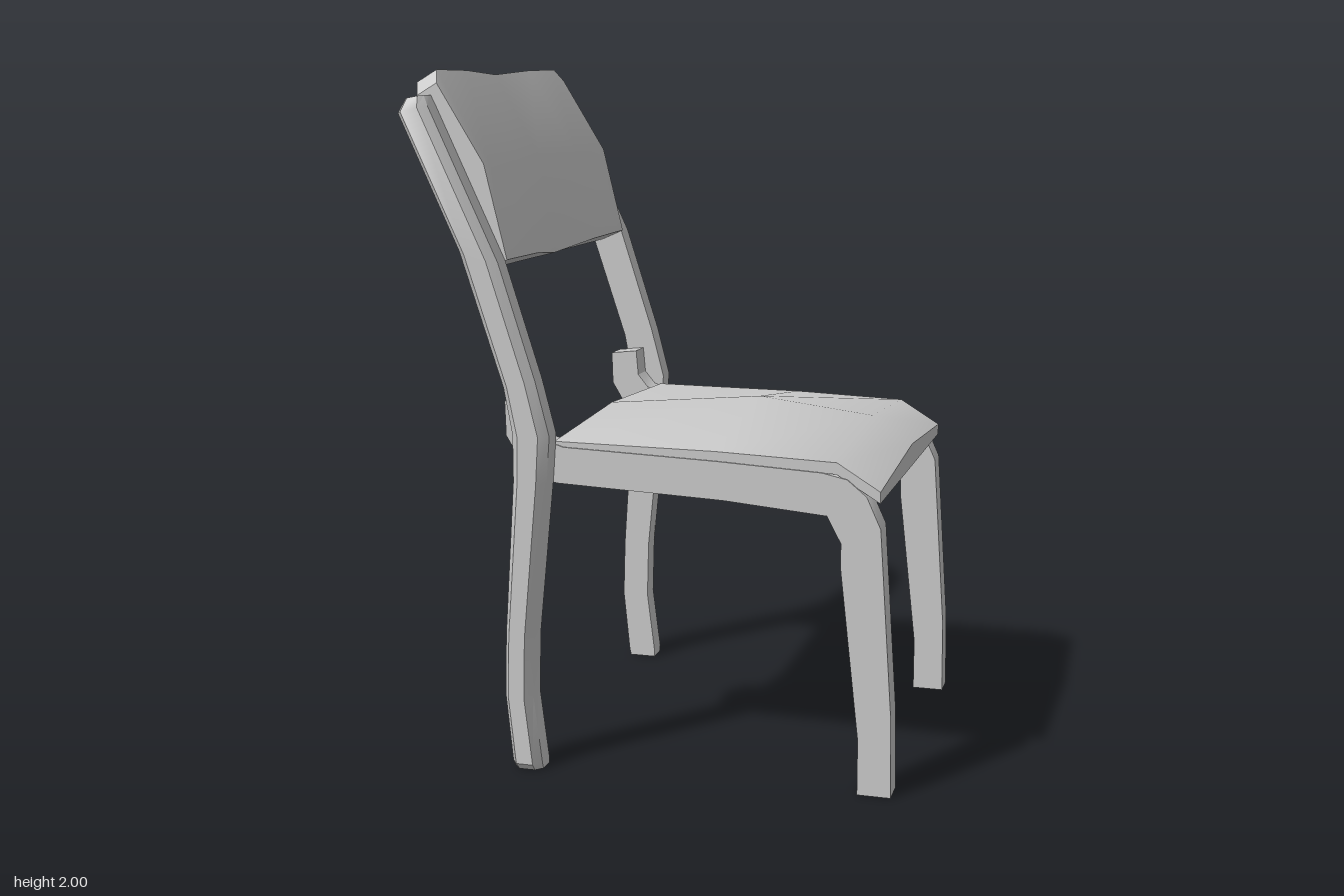
import * as THREE from 'three';
import { toCreasedNormals } from 'three/addons/utils/BufferGeometryUtils.js';

const material = new THREE.MeshStandardMaterial({ color: 0xcccccc });

// Closed skin over a row of cross-sections with equal point counts
function loft(sections, crease) {
  const n = sections[0].length, tris = [];
  const tri = (a, b, c) => tris.push([a, b, c]);
  for (let i = 0; i + 1 < sections.length; i++) {
    const s = sections[i], t = sections[i + 1];
    for (let j = 0; j < n; j++) {
      const k = (j + 1) % n;
      tri(s[j], s[k], t[k]);
      tri(s[j], t[k], t[j]);
    }
  }
  const first = sections[0], last = sections[sections.length - 1];
  for (let j = 1; j + 1 < n; j++) {
    tri(first[0], first[j + 1], first[j]);
    tri(last[0], last[j], last[j + 1]);
  }
  // Turn the faces outward whichever way the sections run
  let volume = 0;
  for (const [a, b, c] of tris) volume += a.dot(b.clone().cross(c));
  const points = tris.flatMap(([a, b, c]) => (volume > 0 ? [a, b, c] : [a, c, b]));
  return toCreasedNormals(new THREE.BufferGeometry().setFromPoints(points), crease);
}

const v = (x, y, z) => new THREE.Vector3(x, y, z);

// Curved rear post, bevelled along its outer side
function rearLeg(side, inner) {
  // back x, back y, front x, front y, inset of the outer face
  const rows = [
    [-0.39, 0, -0.305, 0, 0.015],
    [-0.395, 0.02, -0.305, 0.02, 0],
    [-0.415, 0.22, -0.33, 0.22, 0],
    [-0.41, 0.4, -0.325, 0.4, 0],
    [-0.38, 0.85, -0.28, 0.85, 0],
    [-0.38, 0.985, -0.27, 0.985, 0],
    [-0.405, 1.12, -0.31, 1.14, 0],
    [-0.53, 1.5, -0.415, 1.47, 0],
    [-0.705, 1.88, -0.615, 1.9, 0],
    [-0.685, 1.92, -0.63, 1.93, 0.02],
  ];
  return loft(rows.map(([bx, by, fx, fy, inset]) => {
    const outer = 0.61 - inset, shoulder = 0.582 - inset / 2;
    const at = (t, z) => v(bx + (fx - bx) * t, by + (fy - by) * t, side * z);
    return [at(0, inner), at(0, shoulder), at(0.22, outer),
      at(0.78, outer), at(1, shoulder), at(1, inner)];
  }), 0.6);
}

// Front leg bending into the seat rail and ending in an upturned hook
function frontLeg() {
  const outline = [
    [0.61, 0], [0.705, 0], [0.702, 0.23], [0.665, 0.767], [0.625, 0.855], [0.57, 0.9],
    [0.5, 0.915], [0.2, 0.93], [-0.25, 0.945], [-0.3, 0.96], [-0.333, 1.0], [-0.34, 1.08],
    [-0.425, 1.07], [-0.422, 0.97], [-0.38, 0.9], [-0.335, 0.855], [-0.27, 0.84],
    [0.22, 0.82], [0.515, 0.795], [0.555, 0.72], [0.555, 0.65], [0.61, 0.16],
  ];
  const shape = new THREE.Shape(outline.map(([x, y]) => new THREE.Vector2(x, y)));
  return toCreasedNormals(new THREE.ExtrudeGeometry(shape, { depth: 0.08, bevelEnabled: false }), 0.6);
}

// Seat panel: ridge along the middle, front edge sloping down
function seat() {
  // x, top at the sides, top in the middle, underside
  const rows = [
    [-0.278, 0.96, 0.985, 0.94],
    [0.195, 0.957, 1.027, 0.928],
    [0.54, 0.945, 0.985, 0.912],
    [0.662, 0.87, 0.905, 0.838],
  ];
  return loft(rows.map(([x, edge, mid, low]) => [
    v(x, low, 0.52), v(x, edge, 0.52), v(x, mid, 0.005), v(x, edge, -0.512), v(x, low, -0.512),
  ]), 0.65);
}

// Backrest: flat behind, hollowed in front, clipped upper corners
function backrest() {
  // z, depth of the hollow (0 to 1), drop of the clipped corner
  const stations = [[-0.515, 0, 1], [-0.47, 0, 0], [-0.25, 0.15, 0], [0.005, 1, 0],
    [0.26, 0.15, 0], [0.48, 0, 0], [0.525, 0, 1]];
  return loft(stations.map(([z, h, c]) => [
    v(-0.63 - 0.015 * h + 0.018 * c, 2 - 0.015 * h - 0.037 * c, z),
    v(-0.475 - 0.03 * h, 1.74, z),
    v(-0.41 - 0.05 * h, 1.473 - 0.028 * h, z),
    v(-0.485, 1.44, z),
    v(-0.595, 1.72, z),
    v(-0.69 + 0.018 * c, 1.965 - 0.037 * c, z),
  ]), 0.55);
}

export function createModel() {
  const chair = new THREE.Group();
  chair.name = 'chair';
  const add = (name, geometry, z = 0) => {
    const mesh = new THREE.Mesh(geometry, material);
    mesh.name = name;
    mesh.position.z = z;
    chair.add(mesh);
  };
  add('rearLegLeft', rearLeg(1, 0.525));
  add('rearLegRight', rearLeg(-1, 0.515));
  add('frontLegLeft', frontLeg(), 0.445);
  add('frontLegRight', frontLeg(), -0.515);
  add('seat', seat());
  add('backrest', backrest());
  return chair;
}
